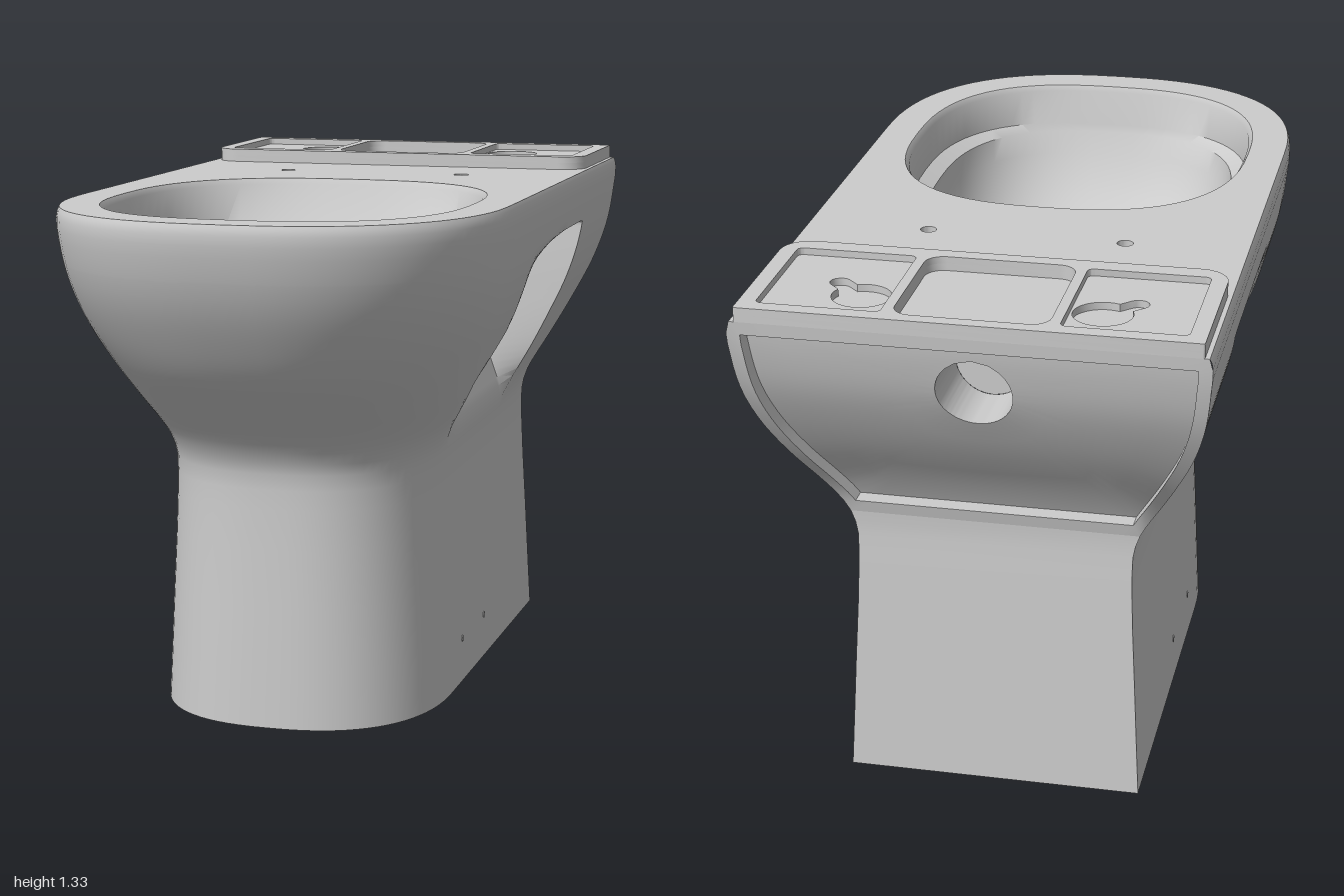
import * as THREE from 'three';
import { toCreasedNormals } from 'three/addons/utils/BufferGeometryUtils.js';

const DECK = 1.29;
const V2 = (x, y) => new THREE.Vector2(x, y);
const V3 = (x, y, z) => new THREE.Vector3(x, y, z);
const { lerp, smoothstep, clamp } = THREE.MathUtils;

// Body profile by height: y, half width, front z, back z, z where the nose rounding starts
const PROFILE = [
  [0, .365, .63, -.76, .2], [.3, .35, .622, -.747, .2], [.58, .338, .616, -.733, .2],
  [.65, .34, .62, -.729, .2], [.7, .355, .645, -.73, .2], [.75, .382, .685, -.745, .21],
  [.8, .41, .735, -.775, .23], [.9, .46, .83, -.85, .28], [1, .505, .9, -.912, .33],
  [1.1, .535, .955, -.96, .37], [1.2, .549, .99, -.988, .4], [1.275, .552, 1, -.999, .4],
  [1.29, .546, .994, -1, .4],
];
const spline = new THREE.CubicInterpolant(PROFILE.map(p => p[0]), PROFILE.flatMap(p => p.slice(1)), 4);
const body = y => [...spline.evaluate(clamp(y, 0, DECK))];

// Skin between successive rings of points
function loft(rings, closed = true) {
  const n = rings[0].length, index = [];
  for (let i = 0; i < rings.length - 1; i++) {
    for (let j = 0; j < (closed ? n : n - 1); j++) {
      const k = (j + 1) % n, a = i * n + j, b = i * n + k, c = b + n, d = a + n;
      index.push(a, b, c, a, c, d);
    }
  }
  const geo = new THREE.BufferGeometry().setFromPoints(rings.flat());
  geo.setIndex(index);
  return geo;
}

// Plan outlines are (x, -z), counter-clockwise from above
const ring = (pts, y) => pts.map(p => V3(p.x, y, -p.y));
const ccw = pts => (THREE.ShapeUtils.isClockWise(pts) ? [...pts].reverse() : pts);
const mirrorX = pts => ccw(pts.map(p => V2(-p.x, p.y)));
function planShape(pts, holes = []) {
  const s = new THREE.Shape(pts);
  s.holes = holes.map(h => new THREE.Path(h));
  return s;
}
const flatUp = (pts, y, holes) => new THREE.ShapeGeometry(planShape(pts, holes)).rotateX(-Math.PI / 2).translate(0, y, 0);
function flatDown(pts, y) {
  const flipped = pts.map(p => V2(p.x, -p.y));
  return new THREE.ShapeGeometry(planShape(flipped)).rotateX(Math.PI / 2).translate(0, y, 0);
}
const slab = (pts, y, depth, holes) => new THREE.ExtrudeGeometry(planShape(pts, holes), { depth, bevelEnabled: false })
  .rotateX(-Math.PI / 2).translate(0, y, 0);
function superEllipse(rx, z0, z1, n, count = 72) {
  const pow = v => Math.sign(v) * Math.abs(v) ** (2 / n);
  return Array.from({ length: count }, (_, i) => {
    const t = i / count * Math.PI * 2;
    return V2(rx * pow(Math.cos(t)), -(z0 + z1) / 2 + (z1 - z0) / 2 * pow(Math.sin(t)));
  });
}
const circle = (x, z, r, count = 32) => superEllipse(r, -r, r, 2, count).map(p => V2(p.x + x, p.y - z));
function arc(cx, cy, r, a0, a1, steps) {
  return Array.from({ length: steps + 1 }, (_, i) => {
    const a = lerp(a0, a1, i / steps);
    return V2(cx + r * Math.cos(a), cy + r * Math.sin(a));
  });
}
// Rounded rectangle; rTop is the radius at the high-v (rear) corners
function roundRect(x0, x1, v0, v1, r, rTop = r) {
  const q = Math.PI / 2;
  return [
    ...arc(x0 + r, v0 + r, r, 2 * q, 3 * q, 6), ...arc(x1 - r, v0 + r, r, 3 * q, 4 * q, 6),
    ...arc(x1 - rTop, v1 - rTop, rTop, 0, q, 6), ...arc(x0 + rTop, v1 - rTop, rTop, q, 2 * q, 6),
  ];
}
function keyhole(x, v, r, slot, w, angle) {
  const d = Math.asin(w / r);
  return [
    ...arc(x, v, r, angle + d, angle - d + Math.PI * 2, 24),
    ...arc(x + slot * Math.cos(angle), v + slot * Math.sin(angle), w, angle - Math.PI / 2, angle + Math.PI / 2, 8),
  ];
}

// Half width inside the side pocket: deep at the rear, blending forward into the bowl
function pocketX(y, z, w) {
  const deep = Math.min(w, y < .95 ? lerp(.345, .24, (y - .68) / .27) : lerp(.24, .22, (y - .95) / .2));
  const start = lerp(.02, -.22, clamp((y - .7) / .23, 0, 1));
  const forward = smoothstep(z, start, start + .36);
  const roof = smoothstep(y, 1.15 - lerp(.02, .22, smoothstep(z, -.38, 0)), 1.155);
  return lerp(deep, w, 1 - (1 - forward) * (1 - roof));
}
// Half of the body outline at height y, nose tip to rear corner
function halfOutline(y) {
  const [w, zf, zb, zc] = body(y), pts = [];
  for (let i = 0; i <= 20; i++) {
    const t = i / 20 * Math.PI / 2, n = 2 / 2.45;
    pts.push([w * Math.sin(t) ** n, zc + (zf - zc) * Math.max(0, Math.cos(t)) ** n]);
  }
  const edge = lerp(-.48, -.535, clamp((y - .68) / .47, 0, 1));
  const inPocket = y > .68 && y < 1.152;
  for (let i = 1; i <= 32; i++) {
    const z = lerp(zc, edge + .045, i / 32);
    pts.push([inPocket ? pocketX(y, z, w) : w, z]);
  }
  for (let i = 0; i <= 3; i++) pts.push([w, lerp(edge, zb, i / 3)]);
  return pts;
}
function outline(y) {
  const half = halfOutline(y);
  return [...half.slice(1).reverse().map(([x, z]) => V2(-x, -z)), ...half.map(([x, z]) => V2(x, -z))];
}

export function createModel() {
  const model = new THREE.Group();
  model.name = 'toilet';
  const ceramic = new THREE.MeshStandardMaterial({ color: 0xcccccc });
  ceramic.name = 'ceramic';
  const add = (name, geo, crease = .6) => {
    geo.deleteAttribute('uv');
    const mesh = new THREE.Mesh(toCreasedNormals(geo, crease), ceramic);
    mesh.name = name;
    model.add(mesh);
  };

  // Outer body
  const rows = [0, .15, .3, .45, .55, .6, .64, .67];
  for (let y = .7; y < 1.11; y += .02) rows.push(y);
  rows.push(1.115, 1.13, 1.14, 1.15, 1.155, 1.18, 1.21, 1.24, 1.265, 1.28, DECK);
  add('body', loft(rows.map(y => ring(outline(y), y)), false), .8);
  for (const s of [-1, 1]) {
    const plate = new THREE.ExtrudeGeometry(planShape(roundRect(-.46, -.225, .94, 1.1, .045)), { depth: .009, bevelEnabled: false });
    add('sidePocketPlate', plate.rotateY(-Math.PI / 2).translate(s * .238 + .0045, 0, 0));
    for (const z of [.08, -.17]) {
      add('fixingHole', new THREE.CylinderGeometry(.009, .009, .006, 12).rotateZ(Math.PI / 2).translate(s * .358, .11, z));
    }
  }

  // Back: plain lower wall, then a sunken panel with a round inlet
  const corner = y => { const [w, , zb] = body(y); return [V3(w, y, zb), V3(-w, y, zb)]; };
  add('backWall', loft(rows.filter(y => y < .71).map(corner), false));
  const border = (m, depth) => {
    const y0 = .7 + m, y1 = DECK - m, pts = [], at = (u, y) => pts.push(V3(u * (body(y)[0] - m), y, body(y)[2] + depth));
    for (let i = 0; i < 16; i++) at(lerp(-1, 1, i / 16), y0);
    for (let i = 0; i < 20; i++) at(1, lerp(y0, y1, i / 20));
    for (let i = 0; i < 16; i++) at(lerp(1, -1, i / 16), y1);
    for (let i = 0; i < 20; i++) at(-1, lerp(y1, y0, i / 20));
    return pts;
  };
  const inletY = 1.125, inletR = .09, sunk = border(.032, .045);
  const inlet = sunk.map(p => {
    const a = Math.atan2(p.y - inletY, p.x), y = inletY + inletR * Math.sin(a);
    return V3(inletR * Math.cos(a), y, body(y)[2] + .045);
  });
  const between = t => sunk.map((p, i) => {
    const q = inlet[i].clone().lerp(p, t);
    return q.setZ(body(q.y)[2] + .045);
  });
  add('backPanel', loft([inlet.map(p => V3(p.x, p.y, -.72)), inlet, ...[.2, .4, .6, .8].map(between), sunk, border(.032, 0), border(0, 0)]));
  add('inletEnd', new THREE.CircleGeometry(inletR, 32).rotateY(Math.PI).translate(0, inletY, -.72));

  // Bowl: y, half width, back z, front z, squareness; the inner step fades out at the front
  const bowl = [
    [DECK, .452, -.13, .892, 2.6], [1.275, .442, -.122, .885, 2.6], [1.18, .436, -.09, .88, 2.6],
    [1.16, .395, -.075, .872, 2.6], [1.1, .387, -.065, .85, 2.6], [1, .36, -.045, .79, 2.5],
    [.93, .32, -.03, .715, 2.6], [.86, .265, -.015, .6, 2.9], [.8, .205, -.005, .48, 3.4],
    [.77, .17, 0, .42, 4], [.62, .168, .002, .418, 4],
  ].map(([y, ...e]) => [superEllipse(...e), y]);
  add('bowl', loft(bowl.map(([p, y]) => ring(p, y))), .7);
  add('bowlFloor', flatUp(...bowl[bowl.length - 1]));

  // Deck with seat bolt holes
  const bolts = [-1, 1].map(s => circle(s * .245, -.34, .02, 16));
  add('deck', flatUp(ccw(outline(DECK)), DECK, [bowl[0][0], ...bolts]));
  for (const b of bolts) {
    add('seatBoltHole', loft([ring(b, DECK), ring(b, 1.2)]));
    add('seatBoltHoleEnd', flatUp(b, 1.2));
  }

  // Raised tank seat: pierced lower slab, and an upper slab framing the trays
  const seat = roundRect(-.535, .535, .56, 1, .07, .004);
  const well = roundRect(-.18, .18, .6, .965, .045);
  const tray = roundRect(.205, .495, .61, .96, .015);
  const key = keyhole(.28, .835, .07, .1, .025, -.8);
  add('tankSeatBase', slab(seat, DECK, .018, [well, key, mirrorX(key)]));
  add('tankSeatFrame', slab(seat, DECK + .018, .017, [well, tray, mirrorX(tray)]));

  // Hollow foot with a drain boss and the rounded underside of the trap
  const foot = ccw(outline(0)), inner = foot.map(p => V2(p.x * .88, (p.y - .065) * .93 + .065));
  add('footRim', loft([ring(inner, .08), ring(inner, 0), ring(foot, 0)]));
  add('footFloor', flatDown(inner, .08));
  add('drainBoss', new THREE.CylinderGeometry(.16, .16, .05, 32).translate(0, .055, -.38));
  const dome = [.02, .3, .55, .8, 1].map(t => ring(circle(0, .13, .16 * t), .08 - .05 * Math.sqrt(1 - t * t)));
  add('trapUnderside', loft(dome));

  return model;
}
